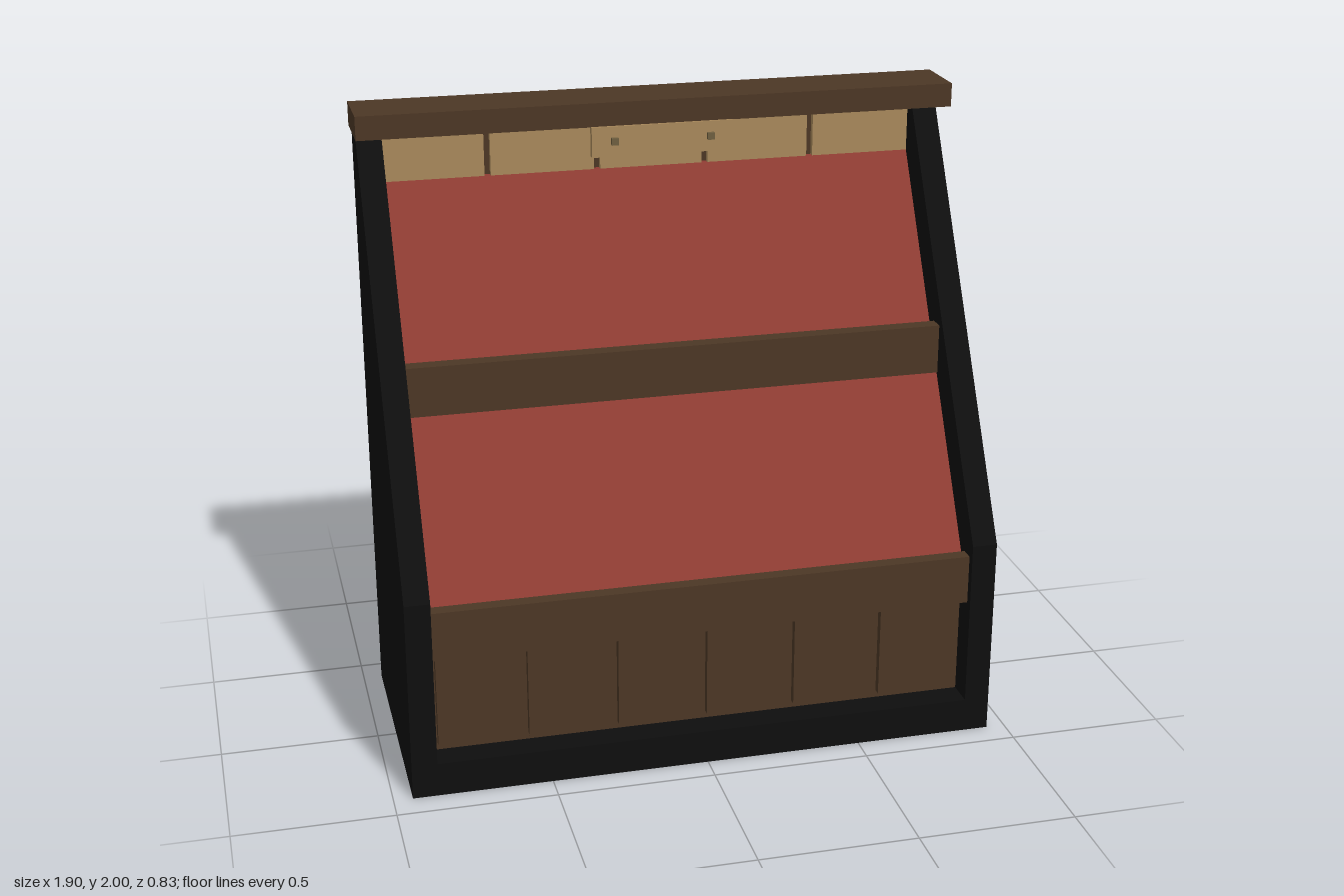
import * as THREE from 'three';

const mat = (name, color) => {
  const m = new THREE.MeshStandardMaterial({ color });
  m.name = name;
  return m;
};

export function createModel() {
  const black = mat('black paint', 0x0e0e0e);
  const brown = mat('dark wood', 0x4c3725);
  const tan = mat('light wood', 0xa9895b);
  const red = mat('red lining', 0x8f3c33);
  const brass = mat('dull brass', 0x6f5f40);

  const group = new THREE.Group();
  group.name = 'displayCabinet';

  const add = (name, geometry, material) => {
    const mesh = new THREE.Mesh(geometry, material);
    mesh.name = name;
    group.add(mesh);
    return mesh;
  };
  // Box given by its limits on each axis
  const box = (name, material, [x0, x1], [y0, y1], [z0, z1]) =>
    add(name, new THREE.BoxGeometry(x1 - x0, y1 - y0, z1 - z0), material)
      .position.set((x0 + x1) / 2, (y0 + y1) / 2, (z0 + z1) / 2);
  // Profile of [z, y] points extruded from x0 to x1
  const prism = (name, material, points, x0, x1) => {
    const shape = new THREE.Shape(points.map(([z, y]) => new THREE.Vector2(z, y)));
    const geometry = new THREE.ExtrudeGeometry(shape, { depth: x1 - x0, bevelEnabled: false });
    geometry.rotateY(-Math.PI / 2);
    add(name, geometry, material).position.x = x1;
  };

  const inner = [-0.86, 0.86];

  // Sloping side panels, base and back
  const side = [[-0.415, 0], [0.415, 0], [0.415, 0.655], [-0.328, 1.94], [-0.415, 1.94]];
  prism('leftSide', black, side, 0.86, 0.94);
  prism('rightSide', black, side, -0.94, -0.86);
  box('base', black, inner, [0, 0.11], [-0.415, 0.415]);
  box('backPanel', brown, inner, [0.11, 1.93], [-0.405, -0.37]);

  // Top board
  box('topBoard', brown, [-0.95, 0.95], [1.925, 2], [-0.402, -0.192]);

  // Sloping red display panel
  const slopeZ = (y) => 0.308 - 0.577 * (y - 0.61);
  prism('displayPanel', red, [
    [slopeZ(0.52) - 0.03, 0.52], [slopeZ(0.52), 0.52], [slopeZ(1.75), 1.75], [slopeZ(1.75) - 0.03, 1.75],
  ], ...inner);

  // Retaining lips across the panel
  box('middleLip', brown, inner, [1.105, 1.265], [-0.02, 0.03]);
  box('lowerLip', brown, inner, [0.45, 0.61], [0.345, 0.39]);

  // Row of drawers below
  box('drawerBacking', brown, inner, [0.11, 0.52], [0.29, 0.325]);
  for (let i = 0; i < 6; i++) {
    const x = (i - 2.5) * 0.286;
    box('drawerFront', brown, [x - 0.131, x + 0.131], [0.135, 0.43], [0.32, 0.35]);
  }

  // Light panels along the top, parted by dark gaps
  for (let i = 0; i < 5; i++) {
    const x0 = i === 0 ? -0.86 : -0.88 + i * 0.352 + 0.01;
    const x1 = i === 4 ? 0.86 : -0.88 + (i + 1) * 0.352 - 0.01;
    box('topPanel', tan, [x0, x1], [1.75, 1.905], [-0.38, -0.35]);
  }

  // Hanging plate with two studs
  box('hangingPlate', tan, [-0.226, 0.224], [1.83, 1.926], [-0.207, -0.184]);
  for (const x of [-0.154, 0.152]) {
    box('stud', brass, [x - 0.011, x + 0.011], [1.869, 1.891], [-0.19, -0.17]);
  }

  return group;
}
